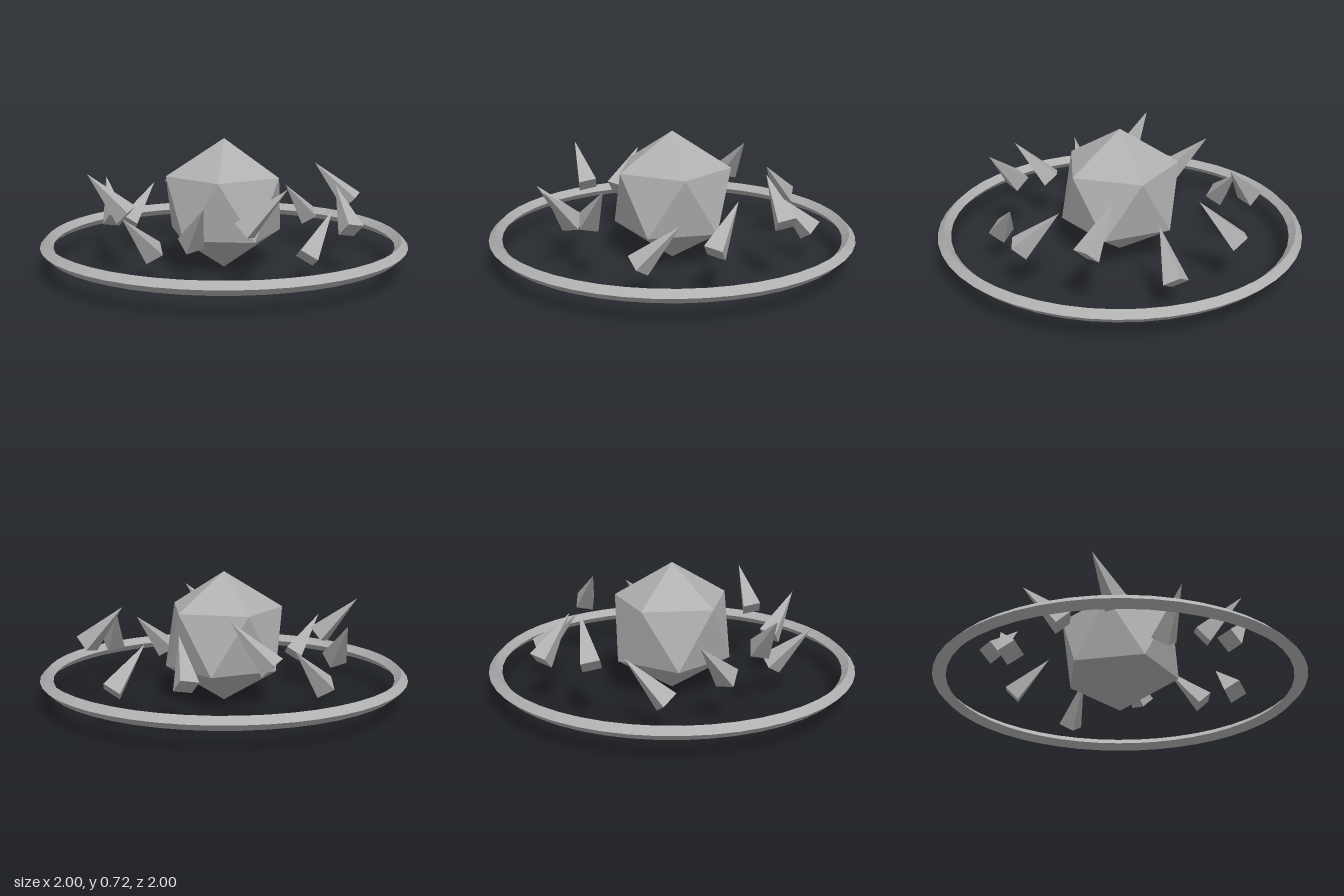
import * as THREE from 'three';

export function createModel() {
  const model = new THREE.Group();
  const stone = new THREE.MeshStandardMaterial({ color: 0xb0b0b0, flatShading: true });
  stone.name = 'stone grey';

  const add = (name, geometry, x, y, z) => {
    const mesh = new THREE.Mesh(geometry, stone);
    mesh.name = name;
    mesh.position.set(x, y, z);
    model.add(mesh);
  };

  // Central crystal, an icosahedron standing on one of its points
  const core = new THREE.IcosahedronGeometry(0.358, 0);
  core.rotateZ(-Math.atan(2 / (1 + Math.sqrt(5))));
  add('core', core, 0, 0.36, 0);

  // Thin outer ring with a diamond section
  const ring = new THREE.TorusGeometry(0.964, 0.036, 4, 48);
  ring.rotateX(Math.PI / 2);
  add('ring', ring, 0, 0.15, 0);

  // Twelve tilted shards in a circle, at three repeating heights
  const heights = [0.285, 0.445, 0.365];
  for (let i = 0; i < 12; i++) {
    const angle = (i * Math.PI) / 6;
    const turn = -2 * angle;
    const shard = new THREE.ConeGeometry(0.07, 0.3, 4);
    shard.rotateY(turn).rotateZ(Math.PI / 4).rotateY(turn);
    add(`shard${i + 1}`, shard, 0.65 * Math.cos(angle), heights[i % 3], 0.65 * Math.sin(angle));
  }

  return model;
}
